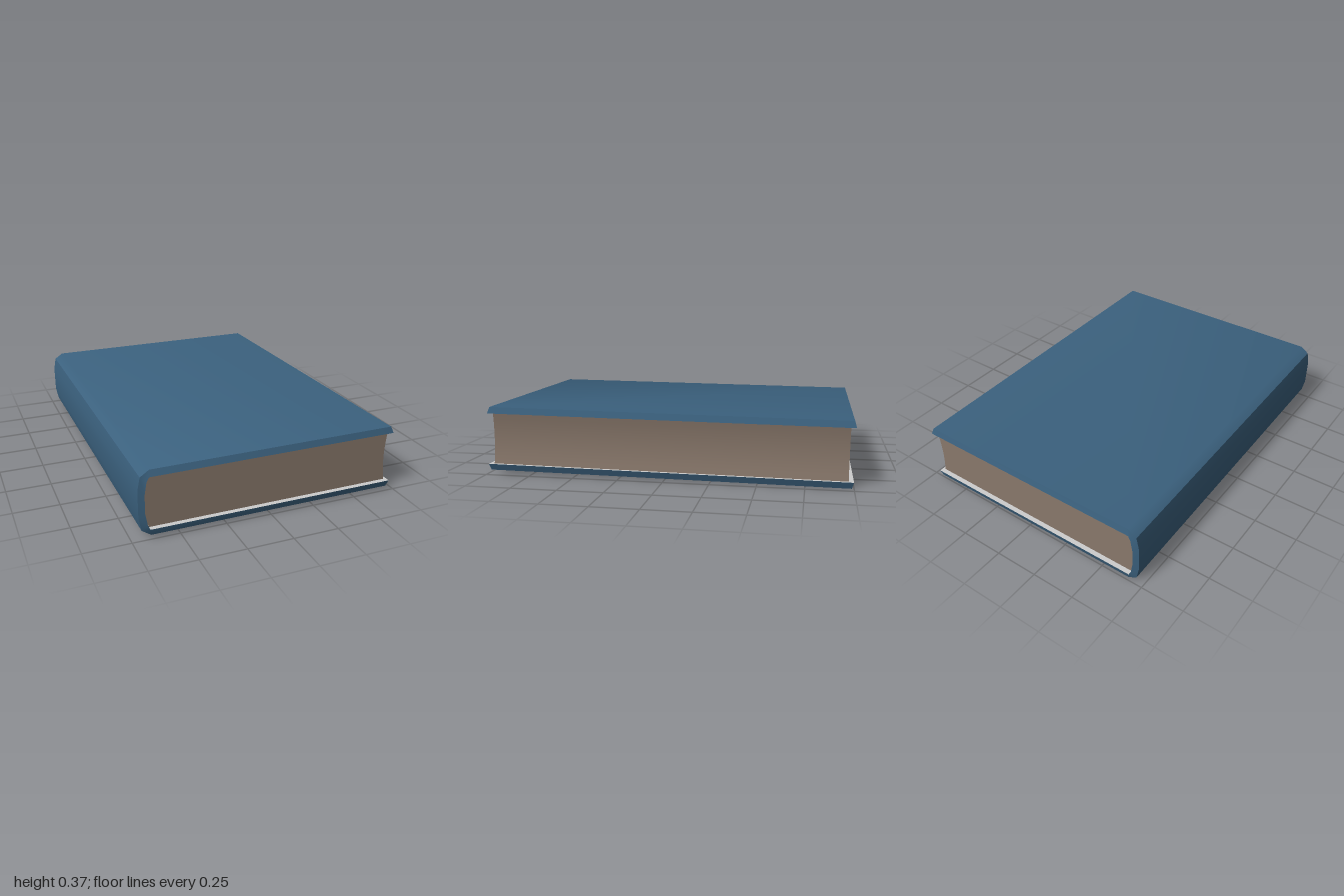
import * as THREE from 'three';
import { toCreasedNormals } from 'three/addons/utils/BufferGeometryUtils.js';

const material = (name, color) => new THREE.MeshStandardMaterial({ name, color });

// Cover cross-section as [x, y] pairs, from the top fore-edge around the spine to the bottom fore-edge
const OUTER = [[0.705, 0.1775], [-0.655, 0.1775], [-0.703, 0.145], [-0.717, 0.075], [-0.717, -0.075],
  [-0.703, -0.145], [-0.655, -0.1775], [0.705, -0.1775]];
const INNER = [[0.717, 0.1425], [-0.66, 0.1425], [-0.673, 0.118], [-0.685, 0.05], [-0.685, -0.05],
  [-0.673, -0.118], [-0.66, -0.1425], [0.717, -0.1425]];
const OUTER_Z = 0.987, INNER_Z = 0.997, PAGE_Z = 0.97;

// Joins quads into one geometry that keeps the spine round and the edges sharp
function quadGeometry(quads) {
  const positions = [];
  for (const [a, b, c, d] of quads) {
    for (const p of [a, b, c, a, c, d]) positions.push(...p);
  }
  const geometry = new THREE.BufferGeometry();
  geometry.setAttribute('position', new THREE.Float32BufferAttribute(positions, 3));
  return toCreasedNormals(geometry, 0.75);
}

function coverGeometries() {
  const cloth = [], paper = [];
  const o = (i, side) => [...OUTER[i], side * OUTER_Z];
  const n = (i, side) => [...INNER[i], side * INNER_Z];
  const last = OUTER.length - 1;
  for (let i = 0; i < last; i++) {
    const j = i + 1;
    // the back board is faced with plain paper on both sides
    const target = j === last ? paper : cloth;
    target.push([o(i, 1), o(i, -1), o(j, -1), o(j, 1)]);
    target.push([n(i, 1), n(j, 1), n(j, -1), n(i, -1)]);
    // bevelled head and tail edges
    cloth.push([o(i, 1), o(j, 1), n(j, 1), n(i, 1)]);
    cloth.push([o(i, -1), n(i, -1), n(j, -1), o(j, -1)]);
  }
  // bevelled fore-edges
  cloth.push([o(0, 1), n(0, 1), n(0, -1), o(0, -1)]);
  cloth.push([o(last, 1), o(last, -1), n(last, -1), n(last, 1)]);
  return [quadGeometry(cloth), quadGeometry(paper)];
}

// Page block: rounded at the spine, hollow at the fore-edge
function pagesGeometry() {
  const shape = new THREE.Shape();
  shape.moveTo(0.7, 0.142);
  INNER.slice(1, -1).forEach(([x, y]) => shape.lineTo(x + 0.001, y * 0.997));
  shape.lineTo(0.7, -0.142);
  shape.quadraticCurveTo(0.674, 0, 0.7, 0.142);
  const geometry = new THREE.ExtrudeGeometry(shape, { depth: 2 * PAGE_Z, bevelEnabled: false, curveSegments: 8 });
  geometry.translate(0, 0, -PAGE_Z);
  return toCreasedNormals(geometry, 0.75);
}

export function createModel() {
  const model = new THREE.Group();
  model.name = 'book';
  const book = new THREE.Group();
  book.name = 'tiltedBook';
  const add = (name, geometry, mat) => {
    const mesh = new THREE.Mesh(geometry, mat);
    mesh.name = name;
    book.add(mesh);
  };

  const [cloth, paper] = coverGeometries();
  add('cover', cloth, material('blue cloth', 0x3b617e));
  add('backBoardFacing', paper, material('pale grey paper', 0xcccccc));
  add('pages', pagesGeometry(), material('page brown', 0x8a796c));

  // the book lies very slightly tilted and turned
  book.rotation.set(-0.01, 0.005, 0);
  book.position.y = 0.1875;
  model.add(book);
  return model;
}
